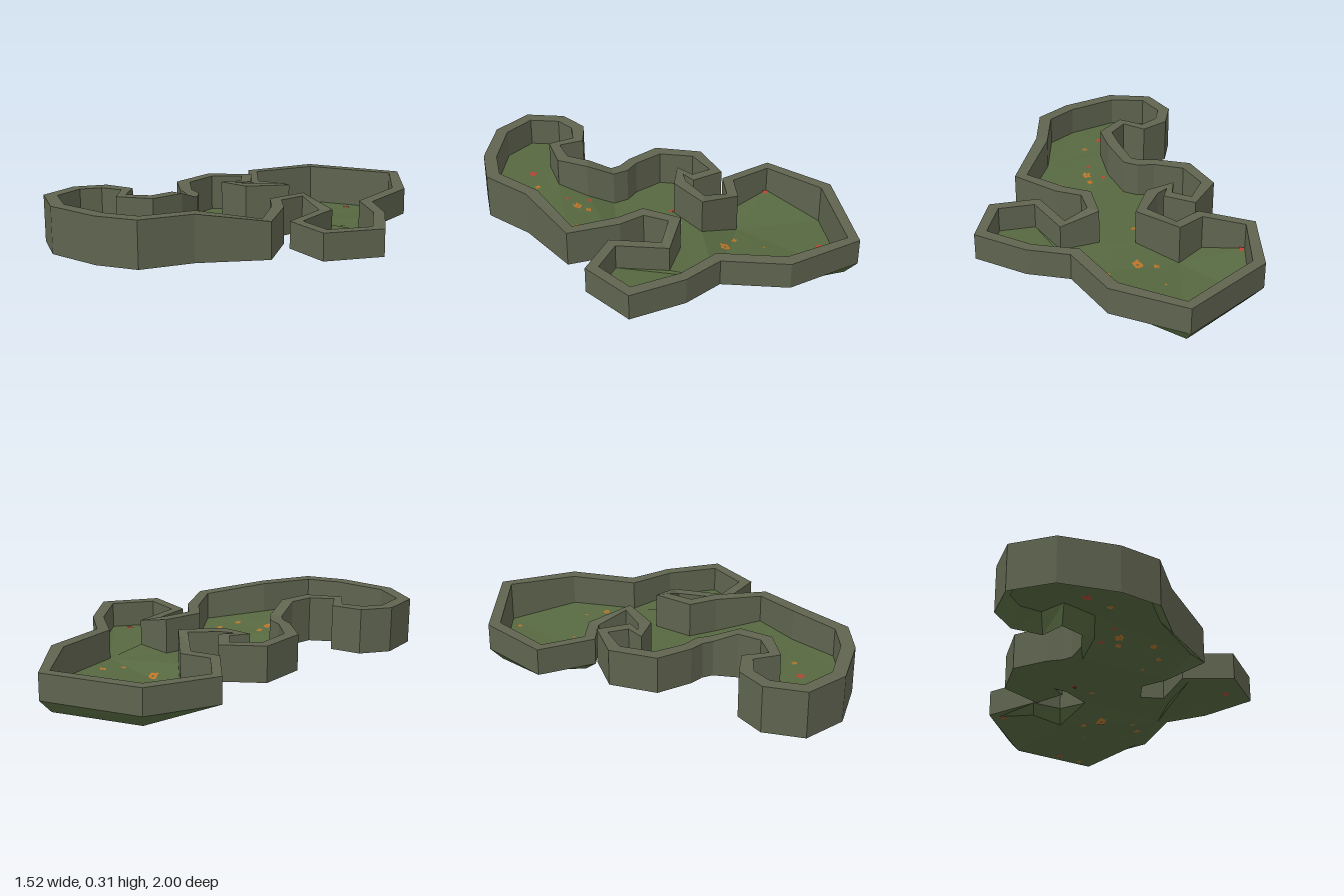
import * as THREE from 'three';

const BASE = 0.07; // underside of the wall

// Matching outlines [x, z], clockwise seen from above, starting at the back corner
const outer = [
  [.21, -1], [.445, -.66], [.445, -.315], [.61, -.16], [.76, .1], [.56, .335], [.31, .25], [.31, -.015],
  [.19, -.04], [.15, .09], [.24, .2], [.345, .455], [.08, .705], [-.07, .94], [-.28, 1], [-.575, .99],
  [-.765, .85], [-.765, .64], [-.655, .51], [-.495, .49], [-.435, .61], [-.32, .55], [-.285, .43], [-.295, .31],
  [-.33, .265], [-.4, .225], [-.535, .09], [-.515, -.16], [-.31, -.285], [-.21, -.14], [-.27, -.08], [-.2, -.1],
  [-.065, -.205], [-.17, -.32], [-.325, -.29], [-.51, -.53], [-.31, -.87],
];
const inner = [
  [.19, -.94], [.38, -.64], [.38, -.29], [.56, -.13], [.69, .1], [.54, .27], [.36, .21], [.36, -.06],
  [.155, -.1], [.085, .1], [.18, .22], [.28, .44], [.04, .65], [-.11, .88], [-.28, .93], [-.55, .925],
  [-.7, .82], [-.7, .66], [-.63, .575], [-.52, .55], [-.445, .67], [-.27, .595], [-.22, .43], [-.235, .29],
  [-.28, .22], [-.36, .18], [-.47, .06], [-.46, -.12], [-.33, -.22], [-.27, -.13], [-.335, -.045], [-.17, -.04],
  [0, -.2], [-.15, -.38], [-.31, -.35], [-.45, -.53], [-.27, -.82],
];
const N = outer.length;

// Wall top in three levels: back and right lobes, middle, front
const topY = (i) => (i < 8 || i > 32 ? 0.21 : i > 11 && i < 23 ? 0.31 : 0.26);

// Floor height: sunken back, nearly flush middle and right lobe, ramp up to the front
const slopes = { 0: 0, 1: 0.05, 2: 0.055, 33: 0, 34: 0.025, 35: 0.07, 36: 0, 11: 0.115, 12: 0.15, 22: 0.125 };
const floorY = (i) => slopes[i] ?? (i > 12 && i < 22 ? 0.16 : 0.076);

const at = ([x, z], y) => new THREE.Vector3(x, y, z);
const range = (a, b) => Array.from({ length: b - a + 1 }, (_, k) => a + k);

function flatGeometry(points) {
  const g = new THREE.BufferGeometry().setFromPoints(points);
  g.computeVertexNormals();
  return g;
}
const quad = (out, a, b, c, d) => out.push(a, b, c, a, c, d);

// Floor zones split along the ramps; the back zone fans from its inner corner
function floorTriangles() {
  const tris = [];
  const add = (i, j, k) => {
    const [a, b, c] = [i, j, k].map((n) => at(inner[n], floorY(n)));
    const up = (b.z - a.z) * (c.x - a.x) - (b.x - a.x) * (c.z - a.z) > 0;
    tris.push(up ? [a, b, c] : [a, c, b]);
  };
  const back = [33, 34, 35, 36, 0, 1, 2];
  for (let k = 1; k < back.length - 1; k++) add(back[0], back[k], back[k + 1]);
  const zones = [
    [2, 8, 32, 33], range(2, 8), [8, 9, 10, ...range(23, 32)], [10, 11, 22, 23], [11, 12, 21, 22], range(12, 21),
  ];
  for (const zone of zones) {
    const contour = zone.map((n) => new THREE.Vector2(...inner[n]));
    for (const t of THREE.ShapeUtils.triangulateShape(contour, [])) add(...t.map((k) => zone[k]));
  }
  return tris;
}

// Height of the floor under a point
function heightAt(tris, x, z) {
  for (const [a, b, c] of tris) {
    const d = (b.z - c.z) * (a.x - c.x) + (c.x - b.x) * (a.z - c.z);
    const u = ((b.z - c.z) * (x - c.x) + (c.x - b.x) * (z - c.z)) / d;
    const v = ((c.z - a.z) * (x - c.x) + (a.x - c.x) * (z - c.z)) / d;
    if (u >= -0.001 && v >= -0.001 && u + v <= 1.001) return u * a.y + v * b.y + (1 - u - v) * c.y;
  }
  return BASE;
}

export function createModel() {
  const model = new THREE.Group();
  const material = (name, color, side = THREE.FrontSide) => {
    const m = new THREE.MeshStandardMaterial({ color, side });
    m.name = name;
    return m;
  };
  const stone = material('mossy stone', 0x5f644f);
  const grass = material('grass green', 0x566840, THREE.DoubleSide);
  const orange = material('orange leaf', 0xbd7426);
  const red = material('red leaf', 0xb84233);
  const addMesh = (name, geometry, mat) => {
    const mesh = new THREE.Mesh(geometry, mat);
    mesh.name = name;
    model.add(mesh);
  };

  // Wall faces and the sloping underside that joins the wall to the floor
  const wall = [], skirt = [];
  for (let i = 0; i < N; i++) {
    const j = (i + 1) % N;
    const ob = [at(outer[i], BASE), at(outer[j], BASE)];
    const ot = [at(outer[i], topY(i)), at(outer[j], topY(j))];
    const ib = [at(inner[i], floorY(i)), at(inner[j], floorY(j))];
    const it = [at(inner[i], topY(i)), at(inner[j], topY(j))];
    quad(wall, ob[1], ob[0], ot[0], ot[1]);
    quad(wall, ib[0], ib[1], it[1], it[0]);
    quad(wall, it[0], it[1], ot[1], ot[0]);
    quad(skirt, ob[0], ob[1], ib[1], ib[0]);
  }
  addMesh('wall', flatGeometry(wall), stone);
  addMesh('underside', flatGeometry(skirt), grass);

  const tris = floorTriangles();
  addMesh('floor', flatGeometry(tris.flat()), grass);

  // Fallen leaves: clusters [x, z, size] of flat flakes that follow the floor, shown above and below it
  const orangeSpots = [
    [.11, -.87, .024], [.31, -.43, .03], [.065, -.325, .046], [.25, -.34, .022], [-.02, -.37, .028], [.03, -.53, .012],
    [.26, -.53, .012], [-.065, -.08, .022], [.09, .26, .014], [.14, .36, .024], [.08, .45, .028], [-.09, .41, .026],
    [-.105, .47, .04], [-.23, .705, .026],
  ];
  const redSpots = [
    [-.02, -.82, .034], [-.432, -.525, .026], [-.18, -.03, .024], [.6, .135, .032], [-.36, .755, .036],
    [-.15, .53, .018], [-.18, .415, .022],
  ];
  const scatter = (spots) => {
    const points = [];
    spots.forEach(([x, z, s], n) => {
      for (let k = 0; k < 5; k++) {
        const a = n * 1.7 + k * 1.26;
        const cx = x + Math.cos(a) * s * 0.34, cz = z + Math.sin(a) * s * 0.34;
        const dx = Math.cos(a * 1.3) * s * 0.3, dz = Math.sin(a * 1.3) * s * 0.3;
        const corner = (u, v, lift) => {
          const px = cx + u * dx - v * dz, pz = cz + u * dz + v * dx;
          return new THREE.Vector3(px, heightAt(tris, px, pz) + lift, pz);
        };
        const ring = [[-1, -.55], [-1, .55], [1, .55], [1, -.55]];
        quad(points, ...ring.map(([u, v]) => corner(u, v, 0.003)));
        quad(points, ...ring.reverse().map(([u, v]) => corner(u, v, -0.003)));
      }
    });
    return flatGeometry(points);
  };
  addMesh('orangeLeaves', scatter(orangeSpots), orange);
  addMesh('redLeaves', scatter(redSpots), red);

  return model;
}
